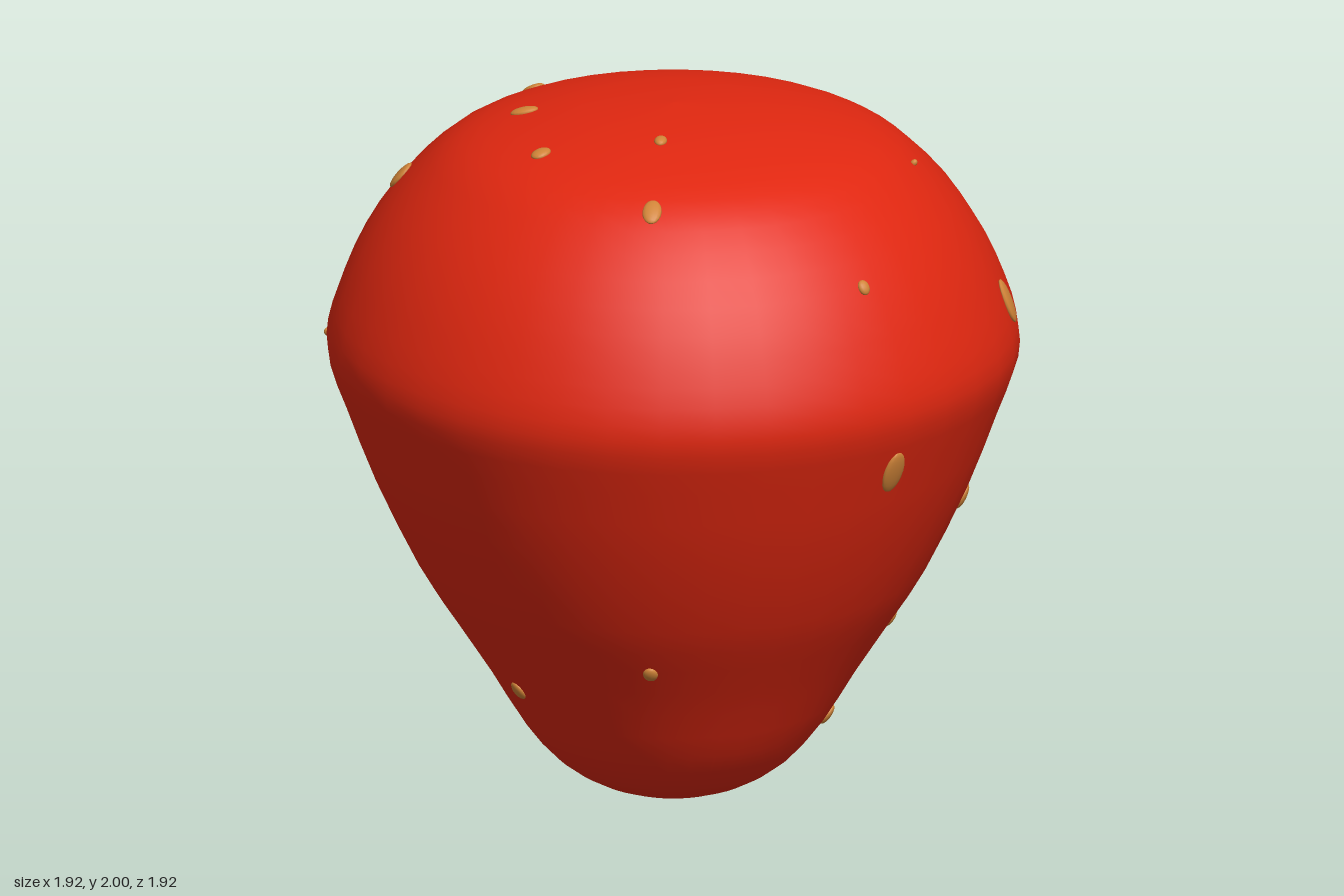
import * as THREE from 'three';

const flesh = new THREE.MeshStandardMaterial({ color: 0xe02710 });
flesh.name = 'strawberry red';
const seedTan = new THREE.MeshStandardMaterial({ color: 0xd08438 });
seedTan.name = 'seed tan';

// Berry outline from the tip to the crown: radius, height
const outline = new THREE.SplineCurve([
  [0, 0.005], [0.11, 0.012], [0.22, 0.045], [0.328, 0.114], [0.423, 0.225], [0.513, 0.373],
  [0.62, 0.537], [0.71, 0.68], [0.83, 0.93], [0.912, 1.145], [0.957, 1.27], [0.957, 1.36],
  [0.926, 1.463], [0.868, 1.595], [0.783, 1.727], [0.677, 1.839], [0.587, 1.9],
  [0.466, 1.943], [0.254, 1.985], [0, 2],
].map(([r, y]) => new THREE.Vector2(r, y)));

// Seeds in eight columns: angle in degrees, then height, half width, half length
const columns = [
  [[26, 1.14, 0.036, 0.066], [23.6, 1.665, 0.018, 0.022]],
  [[66.5, 0.235, 0.025, 0.032], [70.7, 0.51, 0.023, 0.029], [70, 0.87, 0.026, 0.038],
    [68.5, 1.45, 0.038, 0.065], [68, 1.845, 0.009, 0.009]],
  [[115, 0.34, 0.019, 0.02], [110.4, 0.645, 0.038, 0.048], [113, 1.085, 0.027, 0.044]],
  [[156, 0.24, 0.008, 0.008], [160, 0.53, 0.023, 0.034], [160, 0.88, 0.045, 0.075]],
  [[202, 0.51, 0.032, 0.036], [200, 0.93, 0.045, 0.062], [202.4, 1.5, 0.045, 0.07], [202.5, 1.88, 0.031, 0.04]],
  [[248, 1.3, 0.009, 0.012], [245, 1.75, 0.036, 0.045], [246, 1.955, 0.025, 0.04]],
  [[288, 0.38, 0.025, 0.03], [292, 1.943, 0.025, 0.03]],
  [[338, 0.53, 0.021, 0.025], [338.5, 1.88, 0.027, 0.042], [337, 1.98, 0.018, 0.025]],
];

// Finds where the outline reaches a height
function outlineAt(height) {
  let low = 0, high = 1;
  for (let i = 0; i < 30; i++) {
    const mid = (low + high) / 2;
    if (outline.getPoint(mid).y < height) low = mid;
    else high = mid;
  }
  return low;
}

export function createModel() {
  const model = new THREE.Group();
  model.name = 'strawberry';

  // Berry body
  const points = outline.getPoints(38);
  points[0].x = 0;
  points[points.length - 1].x = 0;
  const body = new THREE.Mesh(new THREE.LatheGeometry(points, 40), flesh);
  body.name = 'berryBody';
  model.add(body);

  // Flat oval seeds lying on the skin
  const seedShape = new THREE.SphereGeometry(1, 14, 10);
  columns.forEach((column, i) => {
    const group = new THREE.Group();
    group.name = `seedColumn${i + 1}`;
    for (const [degrees, height, halfWidth, halfLength] of column) {
      const t = outlineAt(height);
      const p = outline.getPoint(t);
      const tangent = outline.getTangent(t);
      const angle = THREE.MathUtils.degToRad(degrees);
      const seed = new THREE.Mesh(seedShape, seedTan);
      seed.name = 'seed';
      seed.position.set(p.x * Math.sin(angle), p.y, p.x * Math.cos(angle));
      seed.rotation.order = 'YXZ';
      seed.rotation.set(Math.atan2(tangent.x, tangent.y), angle, 0);
      seed.scale.set(halfWidth, halfLength, 0.012);
      group.add(seed);
    }
    model.add(group);
  });
  return model;
}
